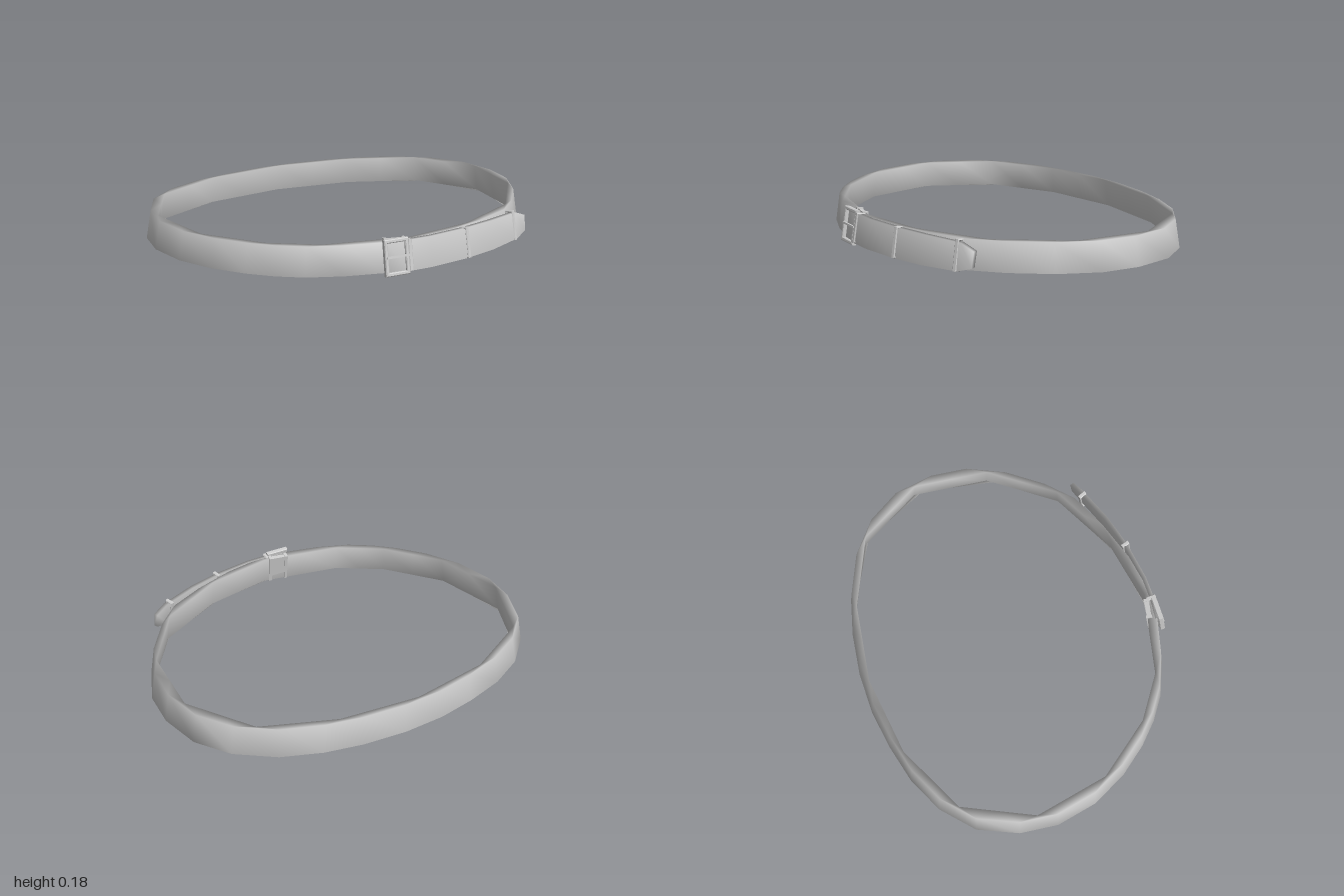
import * as THREE from 'three';

const material = new THREE.MeshStandardMaterial({ color: 0xcccccc });
const LEAN = 0.17; // the top of the strap tips inward

function addMesh(parent, name, geometry) {
  const mesh = new THREE.Mesh(geometry, material);
  mesh.name = name;
  parent.add(mesh);
  return mesh;
}

// Joins four-cornered sections: outer bottom, outer top, inner top, inner bottom.
// Corners are shared, so the strap edges shade softly.
function sweep(sections, closed) {
  const n = sections.length;
  const index = [];
  for (let i = 0; i < (closed ? n : n - 1); i++) {
    const next = (i + 1) % n;
    for (let j = 0; j < 4; j++) {
      const k = (j + 1) % 4;
      const a = i * 4 + j, b = i * 4 + k, c = next * 4 + k, d = next * 4 + j;
      index.push(a, b, c, a, c, d);
    }
  }
  if (!closed) {
    const e = (n - 1) * 4;
    index.push(0, 2, 1, 0, 3, 2, e, e + 1, e + 2, e, e + 2, e + 3);
  }
  const geometry = new THREE.BufferGeometry();
  geometry.setAttribute('position', new THREE.Float32BufferAttribute(sections.flat(2), 3));
  geometry.setIndex(index);
  geometry.computeVertexNormals();
  return geometry;
}

// Rectangular frame with an open middle, extruded along z and centred
function frameGeometry(w, h, bar, depth) {
  const rect = (path, x, y) => path.moveTo(-x, -y).lineTo(x, -y).lineTo(x, y).lineTo(-x, y).closePath();
  const shape = rect(new THREE.Shape(), w / 2, h / 2);
  shape.holes.push(rect(new THREE.Path(), w / 2 - bar, h / 2 - bar));
  const b = 0.004;
  const geometry = new THREE.ExtrudeGeometry(shape, {
    depth: depth - 2 * b, bevelThickness: b, bevelSize: b, bevelOffset: -b, bevelSegments: 1,
  });
  return geometry.translate(0, 0, b - depth / 2);
}

// Group set on the strap, turned to follow it
function mount(parent, name, x, y, z, yaw) {
  const group = new THREE.Group();
  group.name = name;
  group.position.set(x, y, z);
  group.rotation.set(-LEAN, yaw, 0, 'YXZ');
  parent.add(group);
  return group;
}

export function createModel() {
  const belt = new THREE.Group();
  belt.name = 'belt';

  // Main strap: fine outer outline, inner lining with half as many sides
  const outer = [
    [0.065, -0.8], [0.29, -0.775], [0.48, -0.73], [0.675, -0.65], [0.85, -0.515], [0.96, -0.345], [1, -0.13],
    [0.98, 0.065], [0.89, 0.265], [0.756, 0.445], [0.62, 0.575], [0.43, 0.662], [0.2, 0.735], [-0.02, 0.77],
    [-0.185, 0.755], [-0.36, 0.71], [-0.53, 0.64], [-0.645, 0.56], [-0.75, 0.46], [-0.86, 0.32], [-0.955, 0.137],
    [-1, -0.075], [-0.98, -0.27], [-0.895, -0.47], [-0.74, -0.615], [-0.555, -0.707], [-0.35, -0.762], [-0.15, -0.795],
  ];
  const lining = [
    [-0.03, -0.76], [0.38, -0.71], [0.74, -0.56], [0.94, -0.23], [0.9, 0.16], [0.67, 0.48], [0.32, 0.66],
    [-0.03, 0.72], [-0.44, 0.63], [-0.66, 0.48], [-0.87, 0.21], [-0.95, -0.17], [-0.79, -0.52], [-0.44, -0.7],
  ];
  const taper = 0.975;
  const ring = outer.map(([x, z], i) => {
    const p = lining[Math.floor(i / 2)];
    const q = lining[Math.ceil(i / 2) % lining.length];
    const ix = (p[0] + q[0]) / 2, iz = (p[1] + q[1]) / 2;
    const low = 0.01 + 0.0125 * z, high = low + 0.143;
    return [
      [x, low, z], [x * taper, high, z * taper],
      [ix, high, iz], [ix / taper, low, iz / taper],
    ];
  });
  addMesh(belt, 'strap', sweep(ring, true));

  // Overlapping strap end: x, z of the outer face, low and high edge
  const tail = [
    [0.71, 0.608, 0.05, 0.127], [0.64, 0.637, 0.026, 0.156], [0.45, 0.71, 0.021, 0.162],
    [0.27, 0.757, 0.02, 0.164], [0.06, 0.786, 0.02, 0.164], [-0.06, 0.786, 0.02, 0.164],
    [-0.17, 0.774, 0.02, 0.164],
  ].map(([x, z, low, high]) => {
    const zl = z - LEAN * (low - 0.02), zh = z - LEAN * (high - 0.02);
    const dx = z < 0.72 ? 0.008 : 0;
    return [[x, low, zl], [x, high, zh], [x - dx, high, zh - 0.022], [x - dx, low, zl - 0.022]];
  });
  addMesh(belt, 'strapEnd', sweep(tail, false));

  // Buckle: frame and prong
  const buckle = mount(belt, 'buckle', -0.125, 0.094, 0.768, -0.03);
  addMesh(buckle, 'buckleFrame', frameGeometry(0.126, 0.174, 0.018, 0.026));
  const prong = addMesh(buckle, 'prong', new THREE.BoxGeometry(0.116, 0.01, 0.012));
  prong.position.set(0.004, 0.003, 0.012);

  // Inner side of the buckle: folded strap held between two bars
  const fold = mount(belt, 'foldedEnd', -0.11, 0.093, 0.722, -0.21);
  addMesh(fold, 'foldedStrap', new THREE.BoxGeometry(0.085, 0.148, 0.024));
  for (const side of [-1, 1]) {
    const bar = addMesh(fold, 'innerBar', new THREE.BoxGeometry(0.016, 0.156, 0.032));
    bar.position.x = side * 0.045;
  }

  // Keeper loops around the strap end: x, z, yaw, depth
  const loops = [[-0.055, 0.76, 0, 0.048], [0.273, 0.734, 0.27, 0.042], [0.615, 0.613, 0.4, 0.045]];
  for (const [x, z, yaw, depth] of loops) {
    const loop = mount(belt, 'keeperLoop', x, 0.094, z, yaw);
    addMesh(loop, 'loopBand', frameGeometry(depth, 0.15, 0.009, 0.022).rotateY(Math.PI / 2));
  }
  return belt;
}
